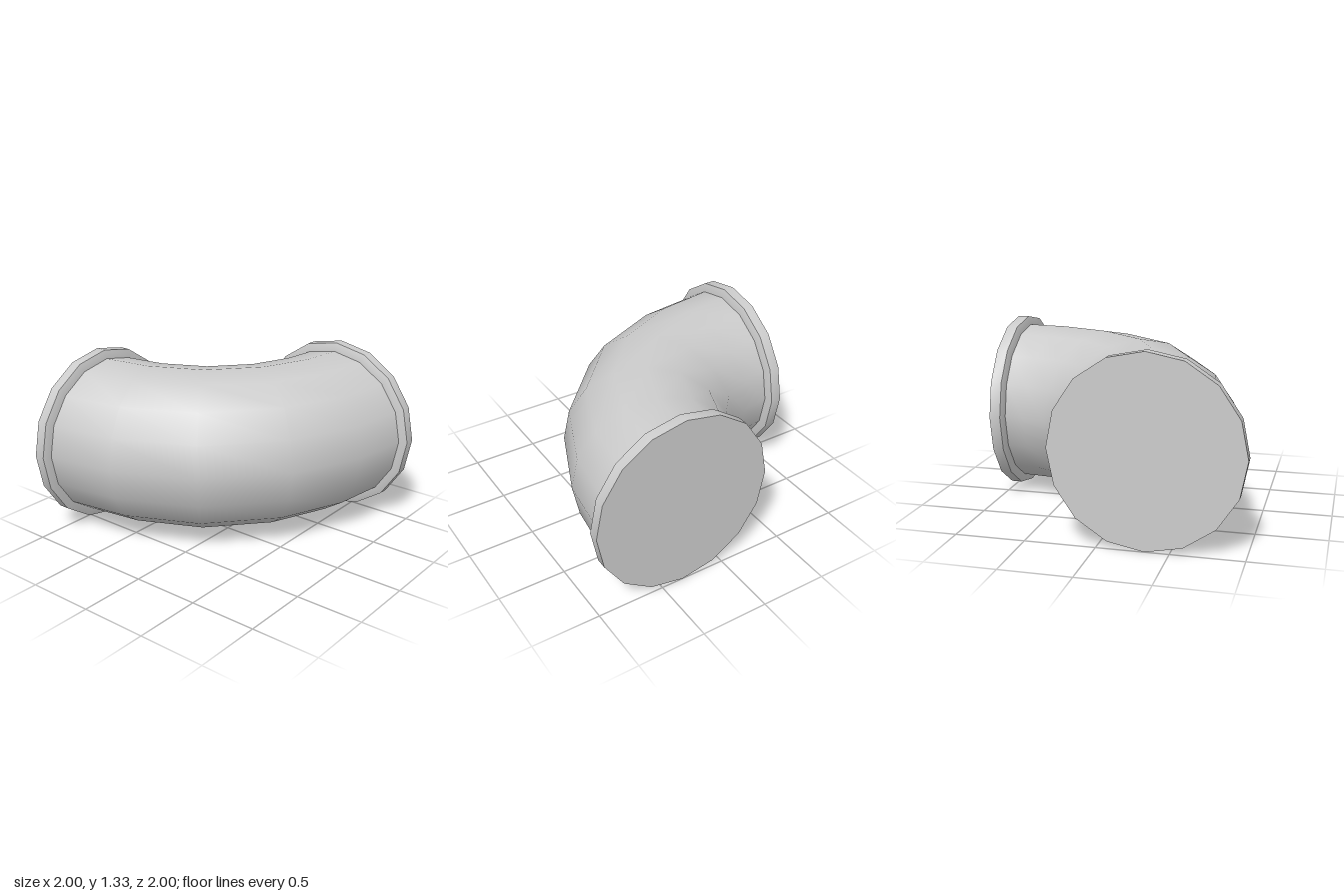
import * as THREE from 'three';
import { toCreasedNormals } from 'three/addons/utils/BufferGeometryUtils.js';

const SIDES = 16;
const AXIS_Y = 0.667;

// Each ring of the bend: [outer x, outer z, inner x, inner z]
const RINGS = [
  [-0.9, 0.94, -0.9, -0.275],
  [-0.38, 0.86, -0.69, -0.31],
  [0.2, 0.59, -0.5, -0.41],
  [0.65, 0.09, -0.36, -0.57],
  [0.88, -0.455, -0.29, -0.76],
  [0.94, -0.9, -0.275, -0.9],
];

// Curved pipe lofted through the rings, smooth shaded
function bendGeometry() {
  const position = [];
  const index = [];
  RINGS.forEach(([ox, oz, ix, iz], r) => {
    for (let i = 0; i < SIDES; i++) {
      const a = (i / SIDES) * Math.PI * 2;
      const t = (1 + Math.cos(a)) / 2;
      position.push(ix + (ox - ix) * t, AXIS_Y + 0.603 * Math.sin(a), iz + (oz - iz) * t);
      if (r === RINGS.length - 1) continue;
      const j = (i + 1) % SIDES;
      const p = r * SIDES;
      const q = p + SIDES;
      index.push(p + i, q + i, p + j, q + i, q + j, p + j);
    }
  });
  const geometry = new THREE.BufferGeometry();
  geometry.setAttribute('position', new THREE.Float32BufferAttribute(position, 3));
  geometry.setIndex(index);
  geometry.computeVertexNormals();
  return geometry;
}

// Closed collar with a chamfered inner edge, its end face towards +y
function flangeGeometry() {
  const profile = [[0.6, 0.9], [0.612, 0.9], [0.667, 0.92], [0.667, 1], [0, 1]];
  const lathe = new THREE.LatheGeometry(profile.map(([r, y]) => new THREE.Vector2(r, y)), SIDES);
  return toCreasedNormals(lathe, Math.PI / 6);
}

export function createModel() {
  const group = new THREE.Group();
  group.name = 'pipeElbow';
  const material = new THREE.MeshStandardMaterial({ color: 0xcccccc });

  const add = (name, geometry) => {
    const mesh = new THREE.Mesh(geometry, material);
    mesh.name = name;
    group.add(mesh);
    return mesh;
  };

  add('elbowPipe', bendGeometry());

  // Flange closing the right end
  const right = add('rightFlange', flangeGeometry());
  right.rotation.z = Math.PI / 2;
  right.position.set(0, AXIS_Y, 0.333);

  // Flange closing the back end
  const back = add('backFlange', flangeGeometry());
  back.rotation.x = -Math.PI / 2;
  back.position.set(0.333, AXIS_Y, 0);

  return group;
}
